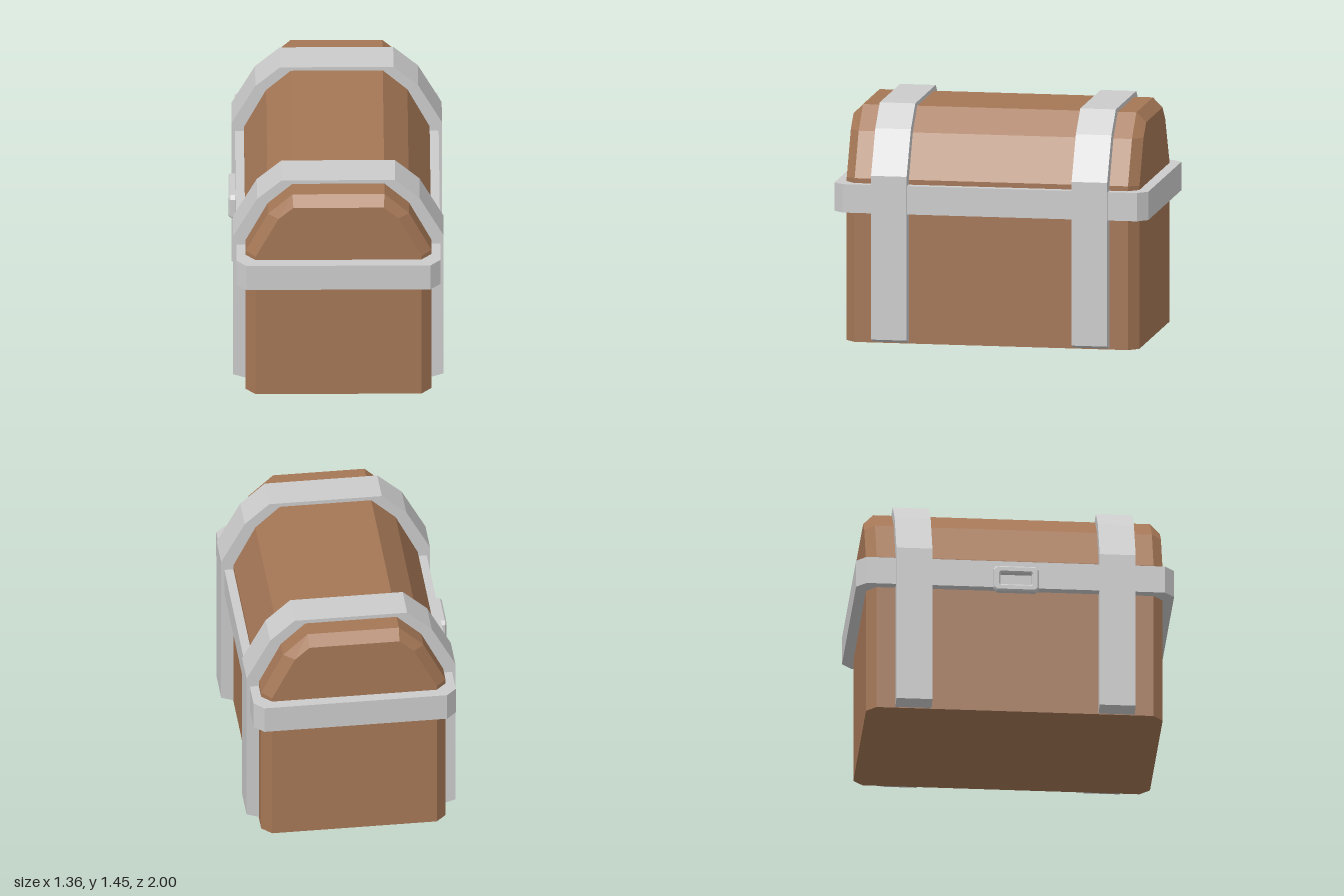
import * as THREE from 'three';

const wood = new THREE.MeshStandardMaterial({ color: 0xa57756, flatShading: true });
const iron = new THREE.MeshStandardMaterial({ color: 0xcccccc, flatShading: true });

const points = list => list.map(([x, y]) => new THREE.Vector2(x, y));

// Rectangle with cut corners, by half width, half height and corner cut
function cutRect(w, h, c) {
  return points([
    [w, -h + c], [w, h - c], [w - c, h], [-w + c, h],
    [-w, h - c], [-w, -h + c], [-w + c, -h], [w - c, -h],
  ]);
}

// Right half of a profile, bottom to top, mirrored into a full outline
function mirrored(half) {
  return [...half, ...half.slice().reverse().map(([x, y]) => [-x, y])];
}

function extrude(outline, hole, depth, bevel = 0) {
  const shape = new THREE.Shape(outline);
  if (hole) shape.holes.push(new THREE.Path(hole));
  return new THREE.ExtrudeGeometry(shape, {
    depth, bevelEnabled: bevel > 0, bevelSize: bevel, bevelThickness: bevel, bevelSegments: 1,
  });
}

// Skin over matching outlines placed along z, from back to front
function loft(sections) {
  const n = sections[0].outline.length, position = [], index = [];
  for (const { z, outline } of sections) for (const [x, y] of outline) position.push(x, y, z);
  for (let s = 0; s < sections.length - 1; s++) {
    for (let i = 0; i < n; i++) {
      const a = s * n + i, b = s * n + (i + 1) % n;
      index.push(a, b, b + n, a, b + n, a + n);
    }
  }
  const last = (sections.length - 1) * n;
  for (let i = 1; i < n - 1; i++) {
    index.push(0, i + 1, i, last, last + i, last + i + 1);
  }
  const geometry = new THREE.BufferGeometry();
  geometry.setAttribute('position', new THREE.Float32BufferAttribute(position, 3));
  geometry.setIndex(index);
  geometry.computeVertexNormals();
  return geometry;
}

export function createModel() {
  const chest = new THREE.Group();
  chest.name = 'chest';
  const add = (name, geometry, material) => {
    const mesh = new THREE.Mesh(geometry, material);
    mesh.name = name;
    chest.add(mesh);
    return mesh;
  };

  // Box with cut upright corners
  add('box', extrude(cutRect(0.565, 0.905, 0.06), null, 1.0).rotateX(-Math.PI / 2), wood);

  // Arched lid with bevelled ends
  const arch = mirrored([[0.565, 1.0], [0.565, 1.01], [0.43, 1.28], [0.28, 1.42]]);
  const archEnd = mirrored([[0.505, 1.0], [0.505, 1.005], [0.365, 1.28], [0.275, 1.36]]);
  add('lid', loft([
    { z: -0.905, outline: archEnd },
    { z: -0.845, outline: arch },
    { z: 0.845, outline: arch },
    { z: 0.905, outline: archEnd },
  ]), wood);

  // Iron band around the box
  const band = extrude(cutRect(0.62, 0.97, 0.06), cutRect(0.555, 0.895, 0.06), 0.175);
  add('band', band.rotateX(-Math.PI / 2), iron).position.y = 0.805;

  // Two iron straps over the lid, open at the bottom
  const strapOutline = points([
    ...mirrored([[0.64, 0.03], [0.64, 1.04], [0.495, 1.31], [0.345, 1.445]]),
    ...mirrored([[-0.555, 0.002], [-0.555, 1.01], [-0.42, 1.27], [-0.27, 1.41]]),
  ]);
  const strap = extrude(strapOutline, null, 0.22).translate(0, 0, -0.11);
  for (const [name, z] of [['frontStrap', 0.62], ['backStrap', -0.62]]) {
    add(name, strap, iron).position.z = z;
  }

  // Bevelled clasp ring on the band
  const clasp = extrude(cutRect(0.13, 0.073, 0.015), cutRect(0.105, 0.048, 0.01), 0.03, 0.01);
  add('clasp', clasp.rotateY(-Math.PI / 2), iron).position.set(-0.622, 0.85, 0);

  // The chest stands slightly turned
  chest.rotation.y = -0.054;
  const model = new THREE.Group();
  model.name = 'treasureChest';
  model.add(chest);
  return model;
}
